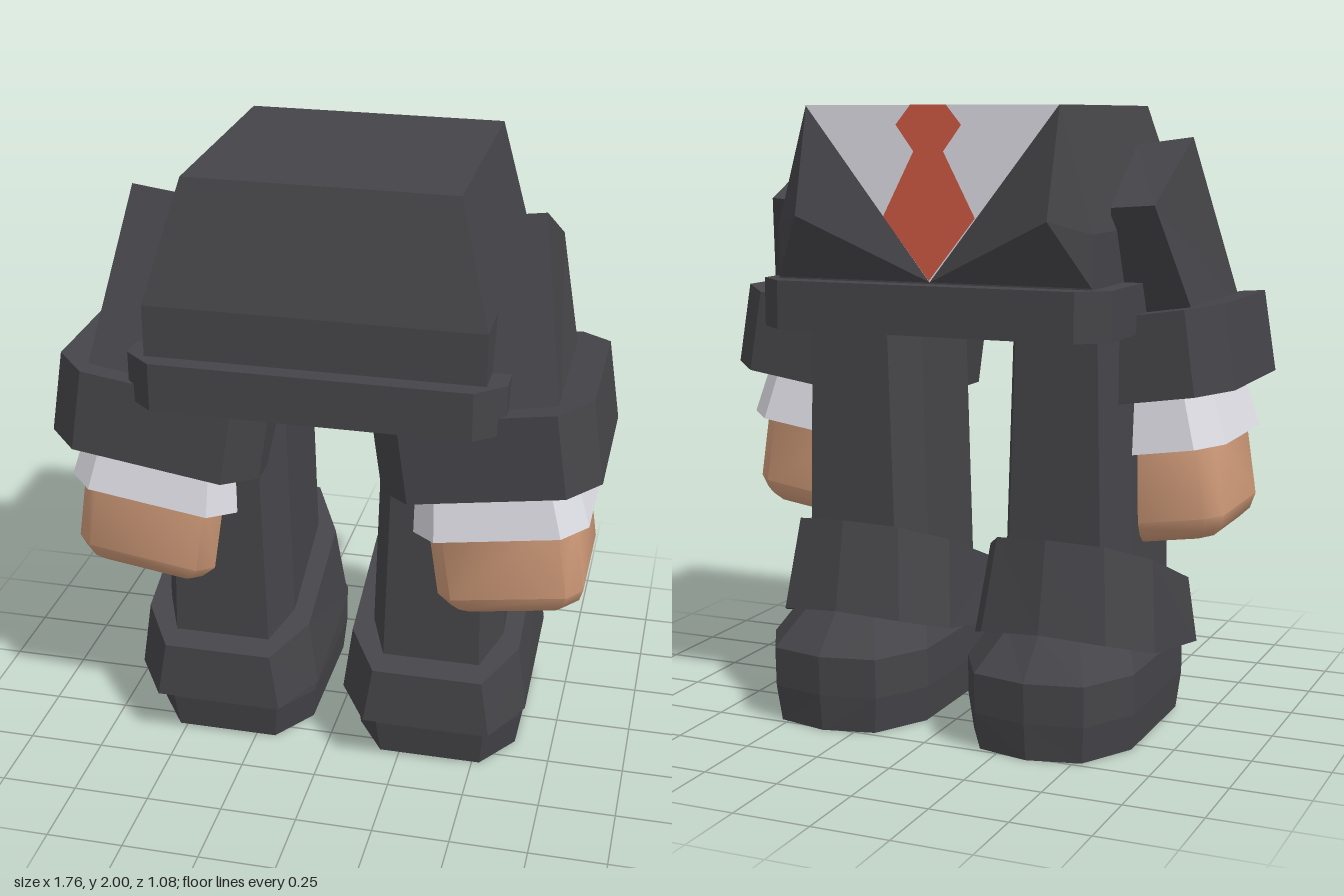
import * as THREE from 'three';
import { toCreasedNormals } from 'three/addons/utils/BufferGeometryUtils.js';
import { ConvexGeometry } from 'three/addons/geometries/ConvexGeometry.js';

// Skin a stack of equal-length rings (bottom to top) with flat faces and closed ends.
function loft(rings, place, side = 1) {
  const pos = [];
  const tri = (a, b, c) => {
    for (const p of side > 0 ? [a, b, c] : [a, c, b]) {
      const v = new THREE.Vector3(...p);
      if (place) v.applyMatrix4(place);
      pos.push(v.x * side, v.y, v.z);
    }
  };
  const n = rings[0].length;
  for (let r = 0; r + 1 < rings.length; r++) {
    const a = rings[r], b = rings[r + 1];
    for (let i = 0; i < n; i++) {
      const j = (i + 1) % n;
      tri(a[i], a[j], b[j]);
      tri(a[i], b[j], b[i]);
    }
  }
  const low = rings[0], top = rings[rings.length - 1];
  for (let i = 1; i + 1 < n; i++) {
    tri(low[0], low[i + 1], low[i]);
    tri(top[0], top[i], top[i + 1]);
  }
  const geo = new THREE.BufferGeometry();
  geo.setAttribute('position', new THREE.Float32BufferAttribute(pos, 3));
  geo.computeVertexNormals();
  return geo;
}

// Rectangle with cut corners, centred on x and z
function oct(y, hx, hz, cx, cz = cx, x = 0, z = 0) {
  return [[-hx + cx, hz], [hx - cx, hz], [hx, hz - cz], [hx, -hz + cz],
    [hx - cx, -hz], [-hx + cx, -hz], [-hx, -hz + cz], [-hx, hz - cz]]
    .map(([px, pz]) => [px + x, y, pz + z]);
}

const rect = (y, hx, z0, z1) => [[-hx, y, z1], [hx, y, z1], [hx, y, z0], [-hx, y, z0]];

// Foot outline with a blunt heel at +z and a slightly pointed toe at -z
function foot(yOf, hx, heel, toe) {
  const h = hx - 0.1, t = hx - 0.1, x = 0.355;
  return [[-h, heel], [h, heel], [hx, heel - 0.15], [hx, toe + 0.22], [t, toe + 0.04],
    [0, toe], [-t, toe + 0.04], [-hx, toe + 0.22], [-hx, heel - 0.15]]
    .map(([px, pz]) => [px + x, yOf(pz), pz]);
}

function flatShape(points) {
  const geo = new THREE.ShapeGeometry(new THREE.Shape(points.map(p => new THREE.Vector2(...p))));
  return geo.rotateY(Math.PI);
}

export function createModel() {
  const model = new THREE.Group();
  model.name = 'suitedFigure';
  const material = (name, color) => {
    const m = new THREE.MeshStandardMaterial({ color });
    m.name = name;
    return m;
  };
  const suit = material('charcoal suit', 0x454549);
  const white = material('white cloth', 0xdedee5);
  const skin = material('skin', 0xd39d7b);
  const red = material('red tie', 0xcf5a43);
  const add = (name, geo, mat) => {
    const mesh = new THREE.Mesh(geo, mat);
    mesh.name = name;
    model.add(mesh);
    return mesh;
  };

  // Jacket body and hem
  add('jacketBody', loft([rect(1.4, 0.53, -0.44, 0.48), rect(1.62, 0.53, -0.44, 0.48),
    rect(2, 0.425, -0.44, 0.38)]), suit);
  add('jacketHem', loft([1.3, 1.455].map(y => oct(y, 0.59, 0.525, 0.09, 0.08, 0, 0.015))), suit);

  // Shirt front and tie
  add('shirtFront', flatShape([[-0.425, 2], [0, 1.46], [0.425, 2]]), white).position.z = -0.443;
  add('tie', flatShape([[-0.06, 2], [-0.11, 1.94], [-0.05, 1.86], [-0.155, 1.66], [0, 1.465],
    [0.155, 1.66], [0.05, 1.86], [0.11, 1.94], [0.06, 2]]), red).position.z = -0.448;

  // Sleeve ends and hands lean outward
  const tilt = (x, y, z) => new THREE.Matrix4().makeRotationZ(0.148).setPosition(x, y, z);

  for (const s of [1, -1]) {
    const side = s > 0 ? 'left' : 'right';

    // Lapel
    const lapel = [[0.425, 2, -0.44], [0, 1.46, -0.44], [0.42, 1.66, -0.53],
      [0.53, 1.62, -0.44], [0.53, 1.46, -0.44]];
    add(side + 'Lapel', new ConvexGeometry(lapel.map(([x, y, z]) => new THREE.Vector3(x * s, y, z))), suit);

    // Upper sleeve
    add(side + 'Sleeve', loft([
      [[0.48, 1.3, 0.44], [0.75, 1.32, 0.44], [0.75, 1.32, -0.08], [0.48, 1.3, -0.08]],
      [[0.46, 1.875, 0.17], [0.65, 1.9, 0.17], [0.66, 1.7, -0.25], [0.52, 1.69, -0.25]],
    ], null, s), suit);

    // Turned sleeve cuff, shirt cuff and hand
    add(side + 'SleeveCuff', loft([oct(-0.135, 0.345, 0.35, 0.1), oct(0.135, 0.345, 0.34, 0.1)],
      tilt(0.52, 1.213, 0.14), s), suit);
    add(side + 'ShirtCuff', loft([oct(-0.09, 0.28, 0.285, 0.08), oct(0.13, 0.245, 0.25, 0.07)],
      tilt(0.555, 1.0, 0.135), s), white);
    const hand = loft([oct(-0.18, 0.18, 0.19, 0.04), oct(-0.155, 0.215, 0.22, 0.05),
      oct(-0.11, 0.235, 0.24, 0.05), oct(0.17, 0.235, 0.24, 0.05)], tilt(0.59, 0.795, 0.142), s);
    add(side + 'Hand', toCreasedNormals(hand, 0.85), skin);

    // Trouser leg
    add(side + 'Leg', loft([oct(0.2, 0.225, 0.31, 0.06, 0.13, 0.355, 0.02),
      oct(1.32, 0.195, 0.31, 0.06, 0.13, 0.36, 0.02)], null, s), suit);

    // Sloping trouser cuff over the shoe
    const hemLow = z => 0.18 + (0.41 - z) * 0.18 + Math.max(0, -0.3 - z) * 0.35;
    const hemHigh = z => 0.37 + (0.4 - z) * 0.385;
    add(side + 'TrouserCuff', loft([foot(hemLow, 0.31, 0.41, -0.42),
      foot(hemHigh, 0.28, 0.4, -0.36)], null, s), suit);

    // Shoe
    add(side + 'Shoe', loft([foot(() => 0, 0.27, 0.31, -0.52), foot(() => 0.12, 0.282, 0.33, -0.535),
      foot(() => 0.25, 0.282, 0.33, -0.54), foot(() => 0.37, 0.22, 0.28, -0.42)], null, s), suit);
  }
  return model;
}
